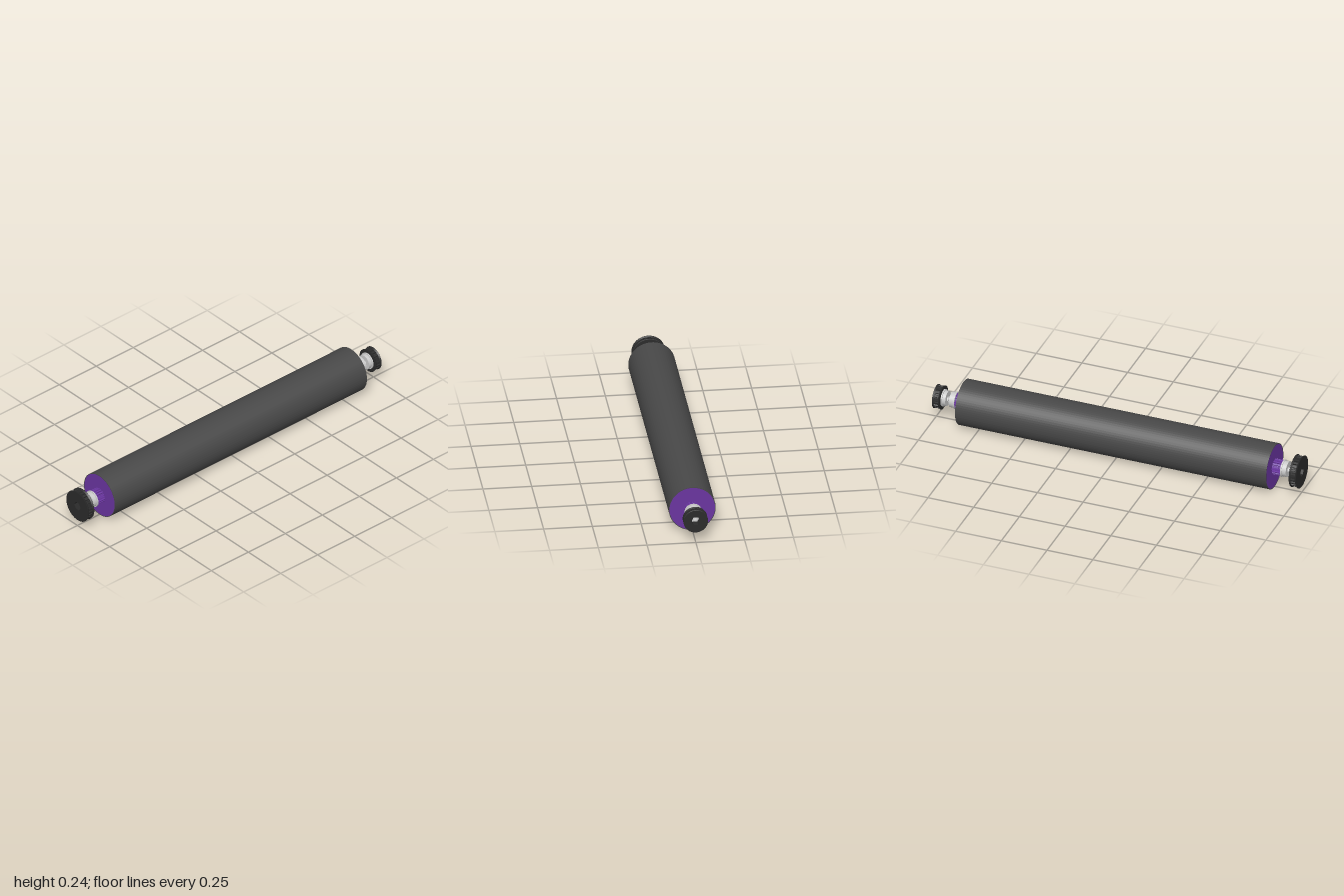
import * as THREE from 'three';

const AXIS_Y = 0.12;
const BORE = 0.014;
const mat = (color) => new THREE.MeshStandardMaterial({ color });
const sleeveMat = mat(0x484848);
const purpleMat = mat(0x6a35a0);
const pulleyMat = mat(0x2b2b2b);
const steelMat = mat(0xcccccc);

// Extrude a shape along +x from x0 to x1, about the roller axis
function extrudeX(name, shape, x0, x1, material) {
  const geo = new THREE.ExtrudeGeometry(shape, { depth: x1 - x0, bevelEnabled: false, curveSegments: 32 });
  geo.rotateY(Math.PI / 2).translate(x0, 0, 0);
  const mesh = new THREE.Mesh(geo, material);
  mesh.name = name;
  return mesh;
}

// Circle outline with a round (or polygonal) bore
function ring(outer, inner, sides = 0) {
  const s = new THREE.Shape().absarc(0, 0, outer, 0, Math.PI * 2, false);
  s.holes.push(bore(inner, sides));
  return s;
}

function bore(r, sides) {
  if (!sides) return new THREE.Path().absarc(0, 0, r, 0, Math.PI * 2, true);
  const pts = [];
  for (let i = 0; i < sides; i++) {
    const a = -i * Math.PI * 2 / sides;
    pts.push(new THREE.Vector2(Math.cos(a) * r, Math.sin(a) * r));
  }
  return new THREE.Path(pts);
}

// Toothed outline with a bore
function toothed(root, tip, count, hole, sides = 0) {
  const pts = [];
  const steps = [[0, root], [0.3, root], [0.42, tip], [0.88, tip]];
  for (let i = 0; i < count; i++) {
    for (const [f, r] of steps) {
      const a = (i + f) * Math.PI * 2 / count;
      pts.push(new THREE.Vector2(Math.cos(a) * r, Math.sin(a) * r));
    }
  }
  const s = new THREE.Shape(pts);
  s.holes.push(bore(hole, sides));
  return s;
}

// Belt pulley: toothed core between two thin flanges with flared rims
function pulley(name, x0, x1, r, teeth) {
  const g = new THREE.Group();
  g.name = name;
  const hex = 0.024, t = 0.005;
  g.add(extrudeX('pulleyTeeth', toothed(r * 0.84, r * 0.94, teeth, hex, 6), x0 + t, x1 - t, pulleyMat));
  g.add(extrudeX('innerFlange', ring(r * 0.95, hex, 6), x0, x0 + t, pulleyMat));
  g.add(extrudeX('outerFlange', ring(r * 0.95, hex, 6), x1 - t, x1, pulleyMat));
  for (const [x, dir] of [[x0, 1], [x1, -1]]) {
    const profile = [[r * 0.94, 0], [r, 0], [r, 0.002], [r * 0.94, 0.008]];
    const geo = new THREE.LatheGeometry(profile.map(([a, b]) => new THREE.Vector2(a, b)), 48);
    geo.rotateZ(-dir * Math.PI / 2).translate(x, 0, 0);
    const rim = new THREE.Mesh(geo, new THREE.MeshStandardMaterial({ color: 0x2b2b2b, side: THREE.DoubleSide }));
    rim.name = 'flangeRim';
    g.add(rim);
  }
  return g;
}

// Splined hub and flanged bearing on one end; s is the distance of the hub's outer end
function endFitting(name, s) {
  const g = new THREE.Group();
  g.name = name;
  g.add(extrudeX('splinedHub', toothed(0.034, 0.041, 18, BORE), 0.85, s, purpleMat));
  g.add(extrudeX('bearingFlange', ring(0.045, 0.02, 6), s, s + 0.007, steelMat));
  g.add(extrudeX('bearingBody', ring(0.041, 0.02, 6), s + 0.007, s + 0.03, steelMat));
  g.add(extrudeX('bearingInnerRing', ring(0.021, BORE), s, s + 0.029, steelMat));
  return g;
}

export function createModel() {
  const model = new THREE.Group();
  model.name = 'roller';
  const axis = new THREE.Group();
  axis.name = 'rollerAssembly';
  axis.position.y = AXIS_Y;
  model.add(axis);

  // Main roller: purple core in a thin dark sleeve
  axis.add(extrudeX('rollerCore', ring(0.117, BORE), -0.85, 0.85, purpleMat));
  const sleeve = new THREE.Shape().absarc(0, 0, 0.12, 0, Math.PI * 2, false);
  sleeve.holes.push(bore(0.117, 0));
  axis.add(extrudeX('rollerSleeve', sleeve, -0.851, 0.851, sleeveMat));

  // Left end (+x): fitting, outer bearing and small pulley
  axis.add(endFitting('leftFitting', 0.887));
  axis.add(extrudeX('outerBearingBody', ring(0.04, 0.022, 6), 0.936, 0.954, steelMat));
  axis.add(extrudeX('outerBearingFlange', ring(0.045, 0.022, 6), 0.954, 0.961, steelMat));
  axis.add(extrudeX('outerBearingInnerRing', ring(0.023, BORE), 0.937, 0.96, steelMat));
  axis.add(pulley('smallPulley', 0.961, 1, 0.063, 18));

  // Right end (-x): fitting and large pulley, turned to face outward
  const right = new THREE.Group();
  right.name = 'rightEnd';
  right.rotation.y = Math.PI;
  right.add(endFitting('rightFitting', 0.897));
  right.add(pulley('largePulley', 0.961, 1, 0.086, 26));
  axis.add(right);

  return model;
}
